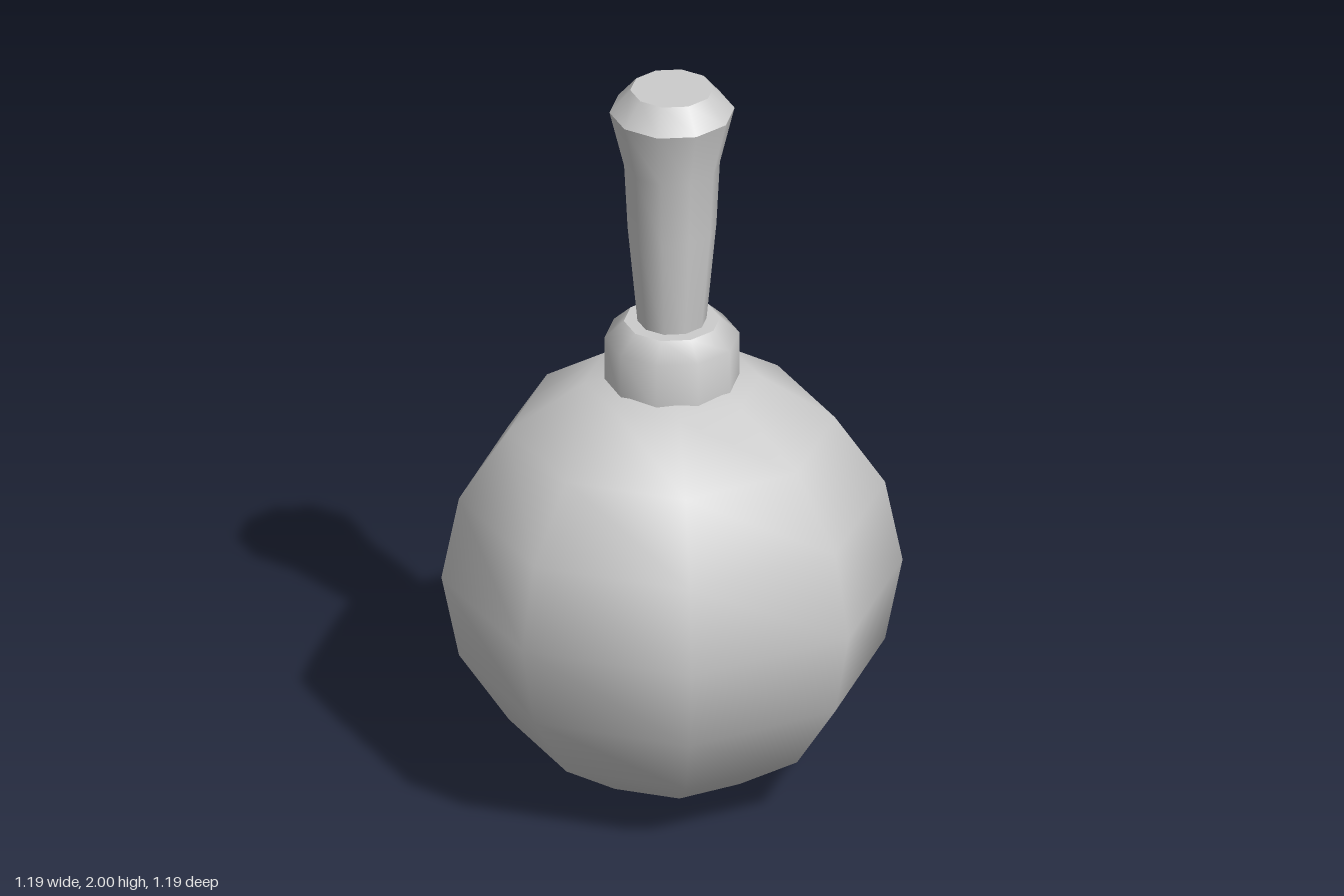
import * as THREE from 'three';

const material = new THREE.MeshStandardMaterial({ color: 0xcccccc });
const SIDES = 10;

// Smooth ten-sided band turned from [radius, y] points, listed bottom to top
function turned(name, profile) {
  const points = profile.map(([r, y]) => new THREE.Vector2(r, y));
  const mesh = new THREE.Mesh(new THREE.LatheGeometry(points, SIDES, Math.PI / 2), material);
  mesh.name = name;
  return mesh;
}

export function createModel() {
  const model = new THREE.Group();
  model.name = 'ballWithHandle';

  // Faceted round body with smooth shading
  const body = new THREE.Mesh(new THREE.SphereGeometry(0.597, 8, 8), material);
  body.name = 'ballBody';
  body.position.y = 0.599;
  model.add(body);

  // Collar with a chamfered shoulder and a flat top
  const collar = new THREE.Group();
  collar.name = 'collar';
  collar.add(
    turned('collarWall', [[0.175, 1.14], [0.175, 1.28], [0.125, 1.327]]),
    turned('collarTop', [[0.125, 1.327], [0, 1.327]])
  );
  model.add(collar);

  // Flared handle, with sharp edges around its bevelled end
  const handle = new THREE.Group();
  handle.name = 'handle';
  handle.add(
    turned('handleShaft', [[0.088, 1.31], [0.115, 1.6], [0.124, 1.78], [0.162, 1.937]]),
    turned('handleBevel', [[0.162, 1.937], [0.108, 2]]),
    turned('handleEnd', [[0.108, 2], [0, 2]])
  );
  model.add(handle);

  return model;
}
